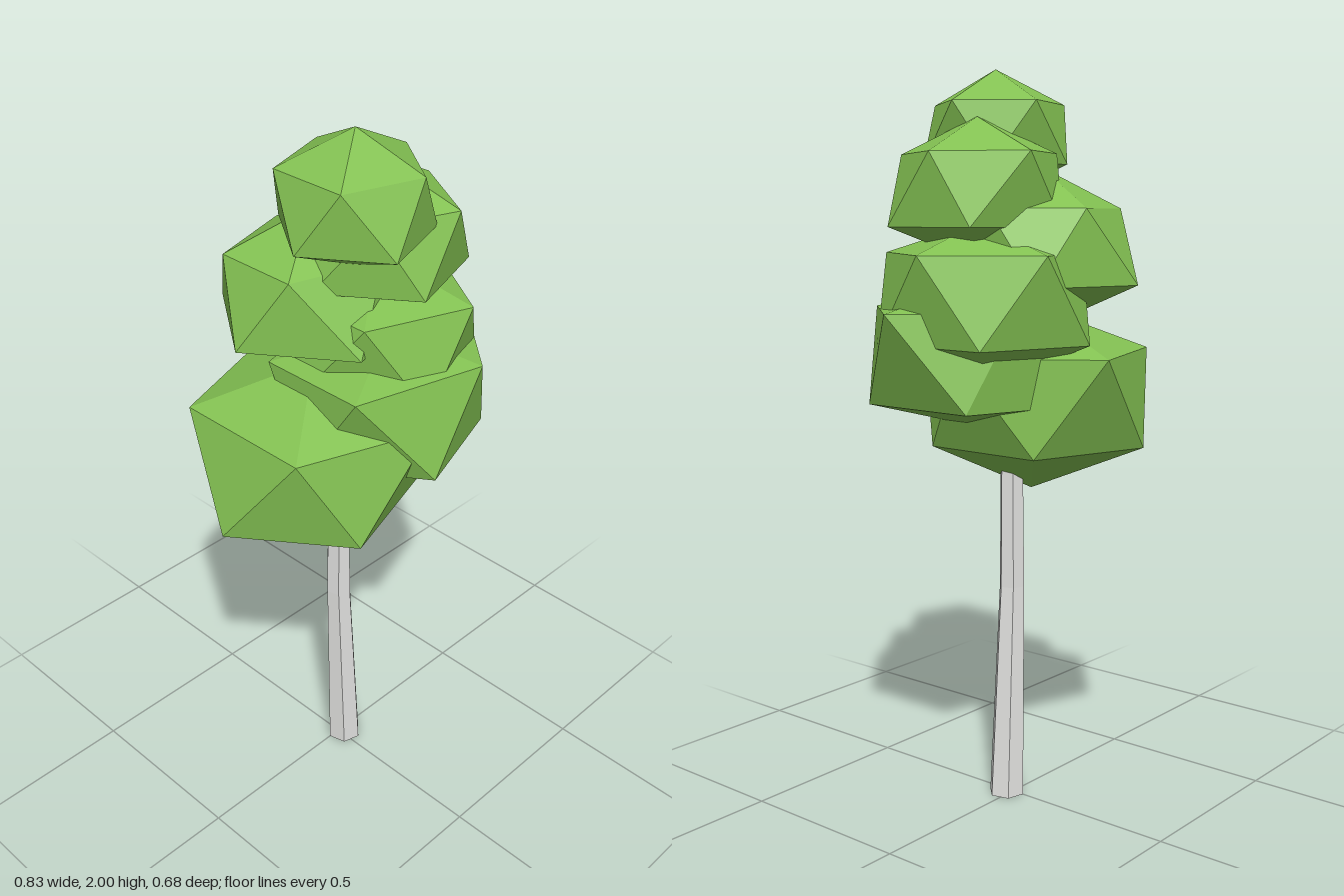
import * as THREE from 'three';
import { ConvexGeometry } from 'three/addons/geometries/ConvexGeometry.js';

const leafGreen = new THREE.MeshStandardMaterial({ color: 0x83c152, name: 'leafGreen' });
const barkGrey = new THREE.MeshStandardMaterial({ color: 0xe2e2e0, name: 'barkGrey' });

// Twenty-sided leaf clump: two staggered five-point rings between a top and a bottom point.
// Poles are [x, y, z]; rings are [centre x, y, centre z, radius x, radius z].
function clump({ name, top, upper, lower, bottom }) {
  const points = [new THREE.Vector3(...top), new THREE.Vector3(...bottom)];
  for (let i = 0; i < 10; i++) {
    const a = (i * Math.PI) / 5;
    const [x, y, z, rx, rz] = i % 2 === 0 ? upper : lower;
    points.push(new THREE.Vector3(x + rx * Math.cos(a), y, z + rz * Math.sin(a)));
  }
  const mesh = new THREE.Mesh(new ConvexGeometry(points), leafGreen);
  mesh.name = name;
  return mesh;
}

// Six-sided trunk that tapers and bends along three centre points
function trunk() {
  const levels = [
    { y: 0, x: 0.013, z: 0.013, r: 0.051 },
    { y: 0.6, x: -0.015, z: 0.016, r: 0.037 },
    { y: 1.1, x: -0.016, z: 0.018, r: 0.032 },
  ];
  const geometry = new THREE.CylinderGeometry(1, 1, 2, 6, 2, false, (75 * Math.PI) / 180);
  const p = geometry.attributes.position;
  for (let i = 0; i < p.count; i++) {
    const l = levels[Math.round(p.getY(i) + 1)];
    p.setXYZ(i, l.x + p.getX(i) * l.r, l.y, l.z + p.getZ(i) * l.r);
  }
  const flat = geometry.toNonIndexed();
  flat.computeVertexNormals();
  const mesh = new THREE.Mesh(flat, barkGrey);
  mesh.name = 'trunk';
  return mesh;
}

export function createModel() {
  const tree = new THREE.Group();
  tree.name = 'tree';

  // Leaf clumps from bottom to top
  const clumps = [
    {
      name: 'lowestClump',
      top: [-0.09, 1.375, 0], upper: [-0.08, 1.255, -0.01, 0.315, 0.335],
      lower: [-0.115, 0.995, 0, 0.305, 0.3], bottom: [-0.08, 0.87, 0],
    },
    {
      name: 'frontClump',
      top: [0.1, 1.43, 0.08], upper: [0.09, 1.375, 0.075, 0.325, 0.26],
      lower: [0.09, 1.125, 0.065, 0.275, 0.289], bottom: [0.12, 1.065, 0.06],
    },
    {
      name: 'leftClump',
      top: [0.14, 1.6, 0], upper: [0.122, 1.52, 0, 0.253, 0.288],
      lower: [0.12, 1.29, 0, 0.272, 0.297], bottom: [0.1, 1.17, 0],
    },
    {
      name: 'backClump',
      top: [-0.01, 1.74, -0.09], upper: [-0.01, 1.635, -0.095, 0.225, 0.2],
      lower: [-0.01, 1.44, -0.085, 0.265, 0.268], bottom: [-0.01, 1.32, -0.085],
    },
    {
      name: 'upperClump',
      top: [0.12, 1.867, 0.02], upper: [0.115, 1.775, 0.02, 0.19, 0.231],
      lower: [0.11, 1.588, 0.03, 0.235, 0.238], bottom: [0.1, 1.49, 0.025],
    },
    {
      name: 'topClump',
      top: [-0.037, 2, 0.09], upper: [-0.037, 1.91, 0.082, 0.185, 0.185],
      lower: [-0.046, 1.75, 0.097, 0.198, 0.205], bottom: [-0.045, 1.66, 0.09],
    },
  ];

  tree.add(trunk());
  clumps.forEach((c) => tree.add(clump(c)));
  return tree;
}
